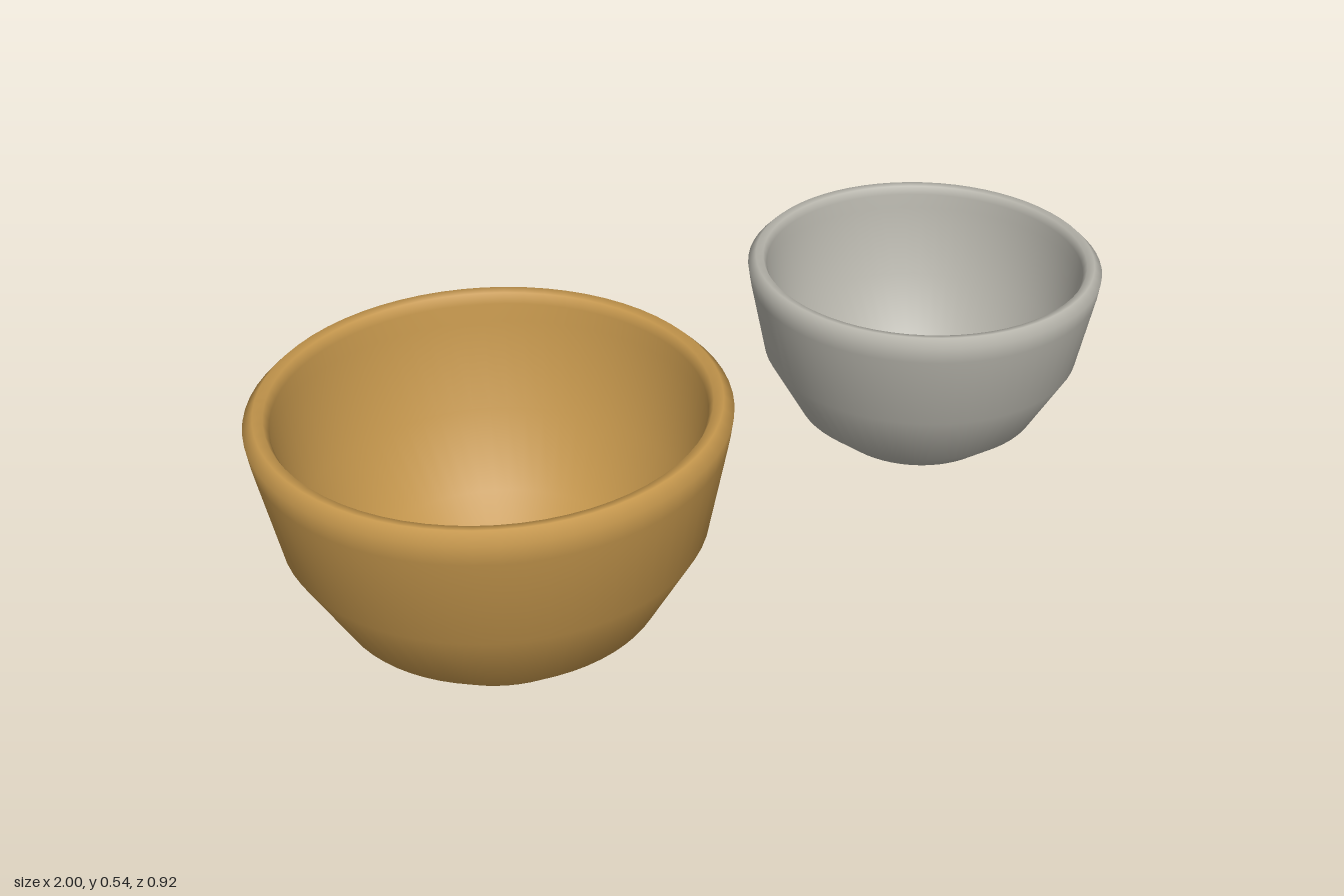
import * as THREE from 'three';

// Closed bowl section: outer wall upwards, over the rim, down the inside
const PROFILE = [
  [0, 0], [0.17, 0.002], [0.225, 0.037], [0.32, 0.115], [0.413, 0.28], [0.453, 0.48],
  [0.459, 0.523], [0.439, 0.543], [0.42, 0.54], [0.41, 0.52],
  [0.41, 0.48], [0.375, 0.295], [0.287, 0.145], [0.2, 0.073], [0.15, 0.045], [0, 0.04],
].map(([r, y]) => new THREE.Vector2(r, y));

function makeBowl(name, material, x, scale) {
  const bowl = new THREE.Mesh(new THREE.LatheGeometry(PROFILE, 64), material);
  bowl.name = name;
  bowl.position.x = x;
  bowl.scale.setScalar(scale);
  return bowl;
}

export function createModel() {
  const gold = new THREE.MeshStandardMaterial({ color: 0xc4964c });
  gold.name = 'gold';
  const silver = new THREE.MeshStandardMaterial({ color: 0xb6b4ab });
  silver.name = 'silver';

  const group = new THREE.Group();
  group.name = 'bowls';
  group.add(
    makeBowl('largeBowl', gold, -0.541, 1),
    makeBowl('smallBowl', silver, 0.615, 0.839),
  );
  return group;
}
